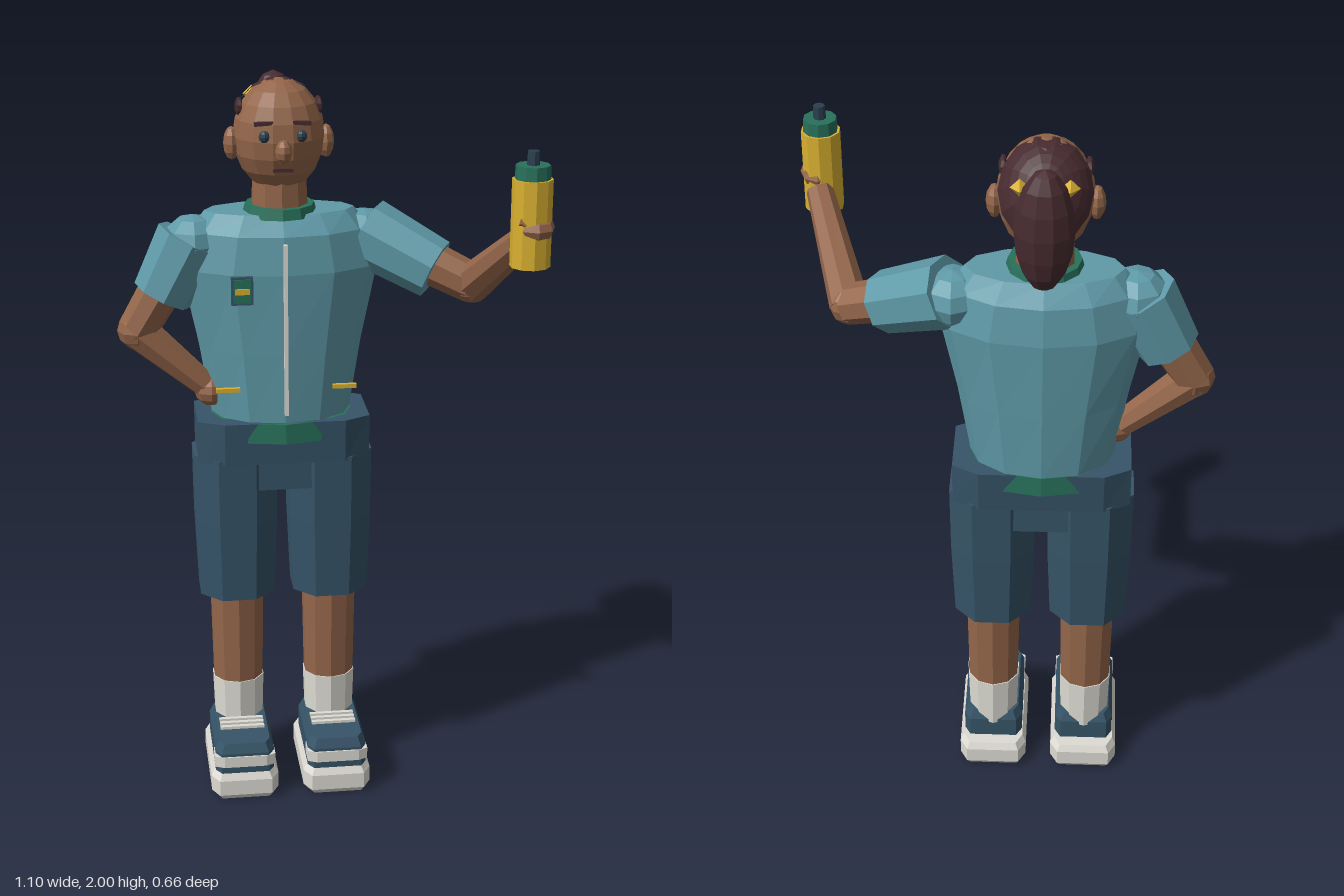
import * as THREE from 'three';

const mat = (name, color) => {
  const m = new THREE.MeshStandardMaterial({ color });
  m.name = name;
  return m;
};
const V = (x, y, z) => new THREE.Vector3(x, y, z);

export function createModel() {
  const root = new THREE.Group();
  root.name = 'standingFigure';
  const shirt = mat('teal shirt', 0x5f9aa8), skin = mat('skin', 0x94664a), navy = mat('navy', 0x365468),
    hair = mat('dark hair', 0x472b30), green = mat('green', 0x28705a), yellow = mat('yellow', 0xd9b030),
    white = mat('off white', 0xdedcd4), dark = mat('dark slate', 0x2b3f4e);
  const CX = -0.107, CZ = -0.125; // body axis

  // Adds a faceted mesh
  function add(name, geo, material, x = 0, y = 0, z = 0, parent = root) {
    const g = geo.index ? geo.toNonIndexed() : geo;
    g.computeVertexNormals();
    const mesh = new THREE.Mesh(g, material);
    mesh.name = name;
    mesh.position.set(x, y, z);
    parent.add(mesh);
    return mesh;
  }
  const box = (name, m, w, h, d, x, y, z, parent) => add(name, new THREE.BoxGeometry(w, h, d), m, x, y, z, parent);
  const ball = (name, m, rx, ry, rz, x, y, z, parent, n = 10, k = 7) =>
    add(name, new THREE.SphereGeometry(1, n, k).scale(rx, ry, rz), m, x, y, z, parent);
  const tube = (name, m, rTop, rBottom, y0, y1, x, z, n = 10, parent = root) =>
    add(name, new THREE.CylinderGeometry(rTop, rBottom, y1 - y0, n), m, x, (y0 + y1) / 2, z, parent);

  // Tapered segment from a to b
  function limb(name, m, a, b, ra, rb, parent, n = 8) {
    const dir = b.clone().sub(a);
    const mesh = add(name, new THREE.CylinderGeometry(rb, ra, dir.length(), n), m, 0, 0, 0, parent);
    mesh.position.copy(a).add(b).multiplyScalar(0.5);
    mesh.quaternion.setFromUnitVectors(V(0, 1, 0), dir.normalize());
    return mesh;
  }

  // Unit outlines in x and z
  const ellipse = (n) => Array.from({ length: n }, (_, i) =>
    [Math.cos(i / n * Math.PI * 2), Math.sin(i / n * Math.PI * 2)]);
  const cutBox = (c) => [[1, -1 + c], [1, 1 - c], [1 - c, 1], [-1 + c, 1], [-1, 1 - c], [-1, -1 + c], [-1 + c, -1], [1 - c, -1]];

  // Closed solid through sections [y, halfX, halfZ, zShift]
  function loft(name, m, outline, sections, x, z, parent) {
    const n = outline.length, pos = [], idx = [];
    for (const [y, hx, hz, dz = 0] of sections) for (const [u, v] of outline) pos.push(u * hx, y, v * hz + dz);
    const last = sections.length - 1, bottom = n * (last + 1);
    pos.push(0, sections[0][0], sections[0][3] || 0, 0, sections[last][0], sections[last][3] || 0);
    for (let j = 0; j < n; j++) {
      const k = (j + 1) % n;
      for (let i = 0; i < last; i++) {
        const a = i * n + j, b = i * n + k;
        idx.push(a, a + n, b, b, a + n, b + n);
      }
      idx.push(bottom, j, k, bottom + 1, last * n + k, last * n + j);
    }
    const g = new THREE.BufferGeometry();
    g.setAttribute('position', new THREE.Float32BufferAttribute(pos, 3));
    g.setIndex(idx);
    return add(name, g, m, x, 0, z, parent);
  }

  // Shirt
  loft('shirtTorso', shirt, ellipse(12), [
    [1.08, 0.19, 0.13], [1.28, 0.222, 0.138], [1.5, 0.268, 0.143], [1.6, 0.24, 0.128], [1.65, 0.2, 0.088],
  ], CX, -0.135);
  loft('shirtHem', green, ellipse(12), [[1.03, 0.2, 0.142], [1.085, 0.195, 0.138]], CX, -0.129);
  tube('collar', green, 0.093, 0.1, 1.64, 1.668, CX, CZ, 12);
  box('zip', white, 0.01, 0.47, 0.016, CX, 1.355, 0.028);
  box('badgeBorder', navy, 0.058, 0.076, 0.012, -0.221, 1.467, 0.016);
  box('badge', green, 0.046, 0.064, 0.009, -0.221, 1.467, 0.021);
  box('badgeStripe', yellow, 0.04, 0.016, 0.008, -0.221, 1.467, 0.025);
  for (const x of [-0.263, 0.05]) box('pocketTrim', yellow, 0.064, 0.011, 0.012, x, 1.195, 0.021);

  // Shorts
  loft('shortsHips', navy, cutBox(0.3), [[0.965, 0.235, 0.118], [1.085, 0.235, 0.125]], CX, -0.13);
  box('shortsCrotch', navy, 0.185, 0.11, 0.215, CX, 0.94, -0.13);

  // Legs and shoes
  for (const side of [-1, 1]) {
    const leg = new THREE.Group();
    leg.name = side > 0 ? 'leftLeg' : 'rightLeg';
    leg.position.x = CX + side * 0.131;
    root.add(leg);
    loft('shortsLeg', navy, cutBox(0.55), [[0.555, 0.104, 0.105], [0.78, 0.113, 0.112], [0.975, 0.115, 0.115]], 0, -0.13, leg);
    tube('shin', skin, 0.078, 0.072, 0.27, 0.6, 0, CZ, 10, leg);
    tube('sock', white, 0.075, 0.07, 0.13, 0.285, 0, CZ, 10, leg);
    loft('sole', white, cutBox(0.22), [
      [0, 0.085, 0.165], [0.015, 0.095, 0.175], [0.06, 0.095, 0.175], [0.08, 0.085, 0.165],
    ], 0, -0.06, leg);
    loft('shoeUpper', navy, cutBox(0.2), [
      [0.075, 0.083, 0.148], [0.14, 0.083, 0.148], [0.167, 0.072, 0.137],
    ], 0, -0.043, leg);
    loft('toeBand', white, cutBox(0.3), [[0.1, 0.085, 0.04], [0.132, 0.085, 0.04]], 0, 0.069, leg);
    for (const z of [0.002, -0.022, -0.046]) box('lace', white, 0.125, 0.014, 0.012, 0, 0.168, z, leg);
  }

  // Arms: shoulder, sleeve end, elbow, wrist
  const arms = [
    ['rightArm', V(-0.345, 1.575, -0.13), V(-0.425, 1.42, -0.13), V(-0.495, 1.325, -0.13), V(-0.315, 1.165, -0.12)],
    ['leftArm', V(0.13, 1.575, -0.145), V(0.305, 1.487, -0.06), V(0.4, 1.455, -0.025), V(0.495, 1.65, 0.225)],
  ];
  for (const [name, shoulder, cuff, elbow, wrist] of arms) {
    const arm = new THREE.Group();
    arm.name = name;
    root.add(arm);
    limb('sleeve', shirt, shoulder, cuff, 0.094, 0.082, arm);
    ball('shoulder', shirt, 0.085, 0.075, 0.09, shoulder.x * 0.97 + CX * 0.03, shoulder.y - 0.01, shoulder.z, arm, 8, 6);
    limb('upperArm', skin, shoulder, elbow, 0.065, 0.054, arm);
    ball('elbow', skin, 0.054, 0.054, 0.054, elbow.x, elbow.y, elbow.z, arm, 8, 6);
    limb('forearm', skin, elbow, wrist, 0.053, 0.036, arm);
  }
  ball('rightHand', skin, 0.045, 0.042, 0.042, -0.3, 1.15, -0.115, root, 8, 6);
  ball('leftHand', skin, 0.052, 0.036, 0.06, 0.497, 1.68, 0.268, root, 8, 6);
  limb('leftThumb', skin, V(0.455, 1.675, 0.25), V(0.465, 1.705, 0.305), 0.016, 0.013, root, 6);

  // Drinking bottle
  const bottle = new THREE.Group();
  bottle.name = 'bottle';
  bottle.position.set(0.489, 0, 0.264);
  root.add(bottle);
  tube('bottleBody', yellow, 0.052, 0.052, 1.58, 1.805, 0, 0, 10, bottle);
  tube('bottleCap', green, 0.044, 0.046, 1.8, 1.84, 0, 0, 10, bottle);
  tube('bottleSpout', dark, 0.015, 0.017, 1.835, 1.875, 0, 0, 8, bottle);

  // Head and face
  const head = new THREE.Group();
  head.name = 'head';
  head.position.set(CX, 1.85, CZ);
  root.add(head);
  tube('neck', skin, 0.073, 0.078, 1.62, 1.75, CX, CZ);
  ball('skull', skin, 0.122, 0.15, 0.122, 0, 0, 0, head, 14, 10);
  ball('nose', skin, 0.022, 0.032, 0.026, 0, -0.022, 0.122, head, 8, 6);
  box('mouth', hair, 0.052, 0.009, 0.009, 0, -0.073, 0.105, head);
  for (const s of [-1, 1]) {
    ball('ear', skin, 0.022, 0.045, 0.03, s * 0.125, -0.02, -0.002, head, 8, 6);
    ball('eye', dark, 0.015, 0.016, 0.012, s * 0.048, 0.016, 0.108, head, 8, 6);
    box('eyebrow', hair, 0.048, 0.01, 0.014, s * 0.05, 0.05, 0.104, head).rotation.z = s * -0.06;
    ball('sideLock', hair, 0.012, 0.026, 0.032, s * 0.104, 0.075, 0.0, head, 6, 5);
    add('hairTie', new THREE.OctahedronGeometry(0.024), yellow, s * 0.06, 0.085, -0.125, head);
  }

  // Swept-back hair and ponytail
  add('hairCap', new THREE.SphereGeometry(1, 14, 6, 0, Math.PI * 2, 0, 1.12)
    .rotateX(-0.96).scale(0.129, 0.154, 0.13), hair, 0, -0.003, -0.004, head);
  ball('crownTuft', hair, 0.028, 0.014, 0.028, 0, 0.133, -0.025, head, 8, 5);
  ball('ponytail', hair, 0.074, 0.164, 0.066, 0, -0.02, -0.143, head, 10, 8);

  return root;
}
